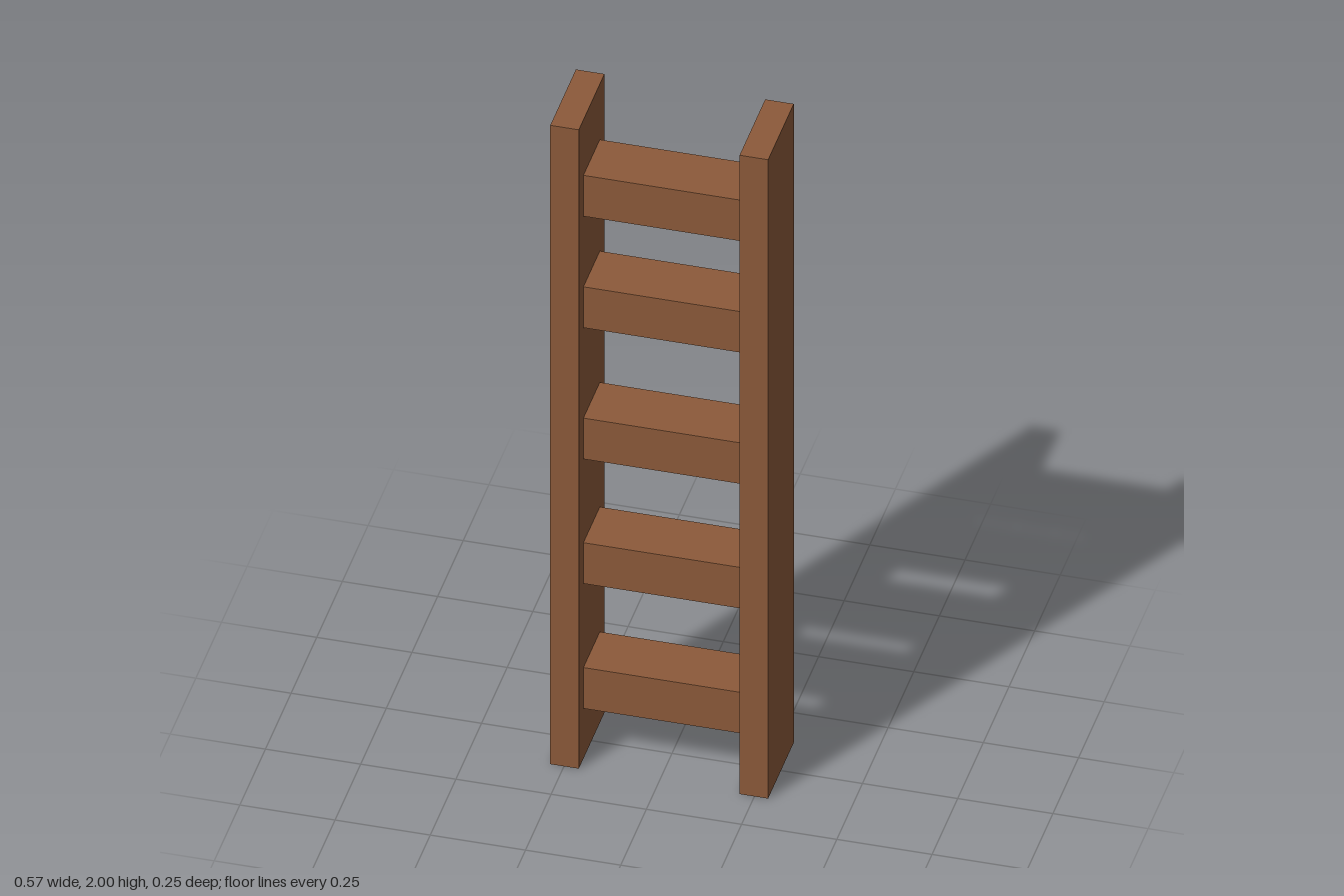
import * as THREE from 'three';

export function createModel() {
  const ladder = new THREE.Group();
  ladder.name = 'ladder';

  const wood = new THREE.MeshStandardMaterial({ color: 0x8c5a3a });
  wood.name = 'brown wood';

  const addBox = (name, w, h, d, x, y) => {
    const mesh = new THREE.Mesh(new THREE.BoxGeometry(w, h, d), wood);
    mesh.name = name;
    mesh.position.set(x, y, 0);
    ladder.add(mesh);
  };

  // Upright side rails
  const railWidth = 0.075, railX = 0.2485;
  addBox('leftRail', railWidth, 2, 0.25, railX, 1);
  addBox('rightRail', railWidth, 2, 0.25, -railX, 1);

  // Rungs, slightly unevenly spaced, spanning between the rails
  const span = 2 * railX - railWidth;
  [0.221, 0.612, 1.002, 1.413, 1.762].forEach((y, i) =>
    addBox(`rung${i + 1}`, span, 0.128, 0.16, 0, y));

  return ladder;
}
